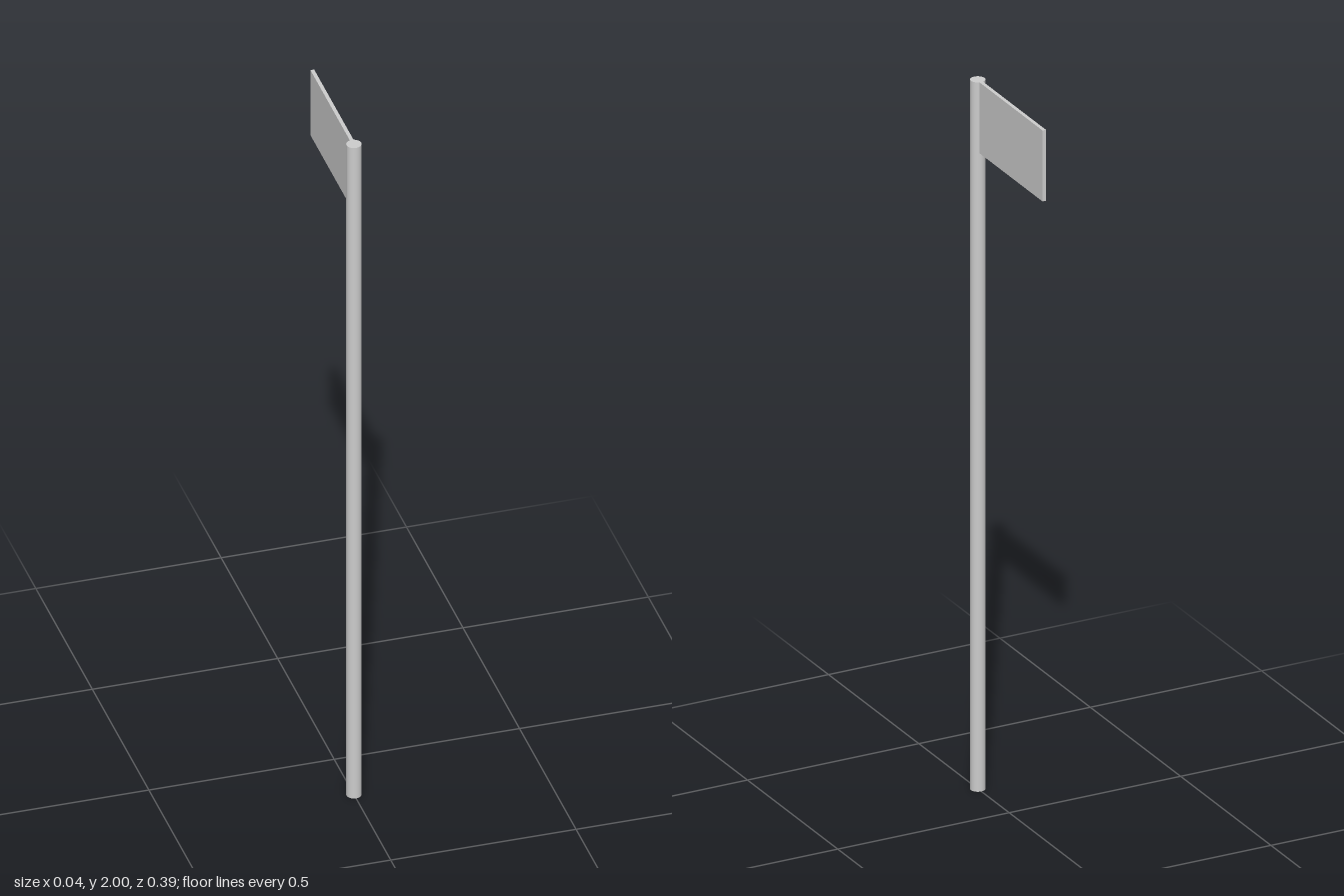
import * as THREE from 'three';

const HEIGHT = 2;
const POLE_RADIUS = 0.02;
const HALF_DEPTH = 0.194; // half of the overall extent along z
const POLE_Z = HALF_DEPTH - POLE_RADIUS;

export function createModel() {
  const group = new THREE.Group();
  const material = new THREE.MeshStandardMaterial({ color: 0xcccccc });

  // Round upright pole
  const pole = new THREE.Mesh(
    new THREE.CylinderGeometry(POLE_RADIUS, POLE_RADIUS, HEIGHT, 32),
    material
  );
  pole.name = 'pole';
  pole.position.set(0, HEIGHT / 2, POLE_Z);
  group.add(pole);

  // Thin sign panel, flush with the pole top and running backwards from it
  const panelHeight = 0.2;
  const front = POLE_Z - POLE_RADIUS + 0.001; // just sunk into the pole
  const panelLength = front + HALF_DEPTH;
  const panel = new THREE.Mesh(
    new THREE.BoxGeometry(0.01, panelHeight, panelLength),
    material
  );
  panel.name = 'signPanel';
  panel.position.set(0, HEIGHT - panelHeight / 2, front - panelLength / 2);
  group.add(panel);

  return group;
}
